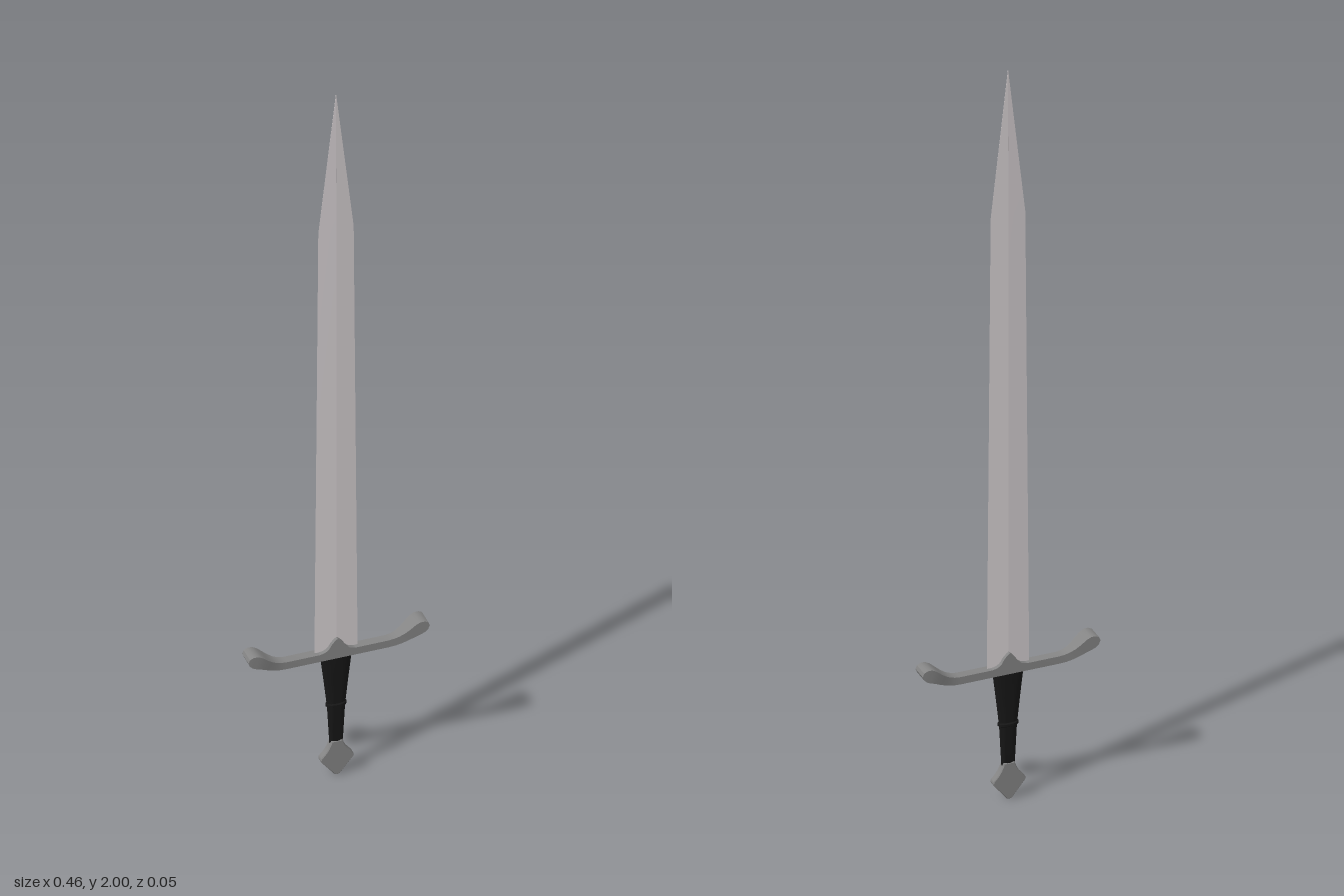
import * as THREE from 'three';
import { toCreasedNormals } from 'three/addons/utils/BufferGeometryUtils.js';

// Skin a list of closed rings (each an array of Vector3), with both ends capped.
function loft(rings, crease) {
  const n = rings[0].length, pos = [], idx = [];
  rings.forEach(r => r.forEach(p => pos.push(p.x, p.y, p.z)));
  for (let i = 0; i < rings.length - 1; i++) {
    for (let j = 0; j < n; j++) {
      const a = i * n + j, b = i * n + (j + 1) % n;
      idx.push(a, b, b + n, a, b + n, a + n);
    }
  }
  const last = (rings.length - 1) * n;
  for (let j = 1; j < n - 1; j++) {
    idx.push(0, j + 1, j, last, last + j, last + j + 1);
  }
  const g = new THREE.BufferGeometry();
  g.setAttribute('position', new THREE.Float32BufferAttribute(pos, 3));
  g.setIndex(idx);
  return toCreasedNormals(g, crease);
}

// Horizontal elliptical ring, ordered so that skinning upwards faces outwards.
function ellipse(y, rx, rz, n) {
  return Array.from({ length: n }, (_, i) => {
    const a = -i / n * Math.PI * 2;
    return new THREE.Vector3(Math.cos(a) * rx, y, Math.sin(a) * rz);
  });
}

const material = color => new THREE.MeshStandardMaterial({ color, side: THREE.DoubleSide });

export function createModel() {
  const group = new THREE.Group();
  const steel = material(0xd6d0d2), iron = material(0x858585), leather = material(0x161616);
  const add = (name, geometry, mat) => {
    const mesh = new THREE.Mesh(geometry, mat);
    mesh.name = name;
    group.add(mesh);
  };

  // Blade: thin diamond section with a central ridge, tapering to a point
  const blade = [[0.35, 0.055, 0.003], [1.6, 0.045, 0.0025], [2.0, 0.0003, 0.0003]];
  add('blade', loft(blade.map(([y, w, d]) => ellipse(y, w, d, 4)), 0.02), steel);

  // Crossguard: flat bar with upturned, flared ends [x, y, half thickness, half depth]
  const arm = [
    [0.04, 0.355, 0.010, 0.012], [0.13, 0.355, 0.010, 0.012], [0.145, 0.3565, 0.0105, 0.0125],
    [0.16, 0.361, 0.011, 0.0145], [0.175, 0.3685, 0.012, 0.0175], [0.19, 0.378, 0.014, 0.0205],
    [0.203, 0.386, 0.0165, 0.022], [0.213, 0.391, 0.0165, 0.0225], [0.222, 0.3945, 0.0125, 0.0225],
    [0.2285, 0.397, 0.005, 0.0225],
  ];
  const stations = [...arm.map(([x, ...rest]) => [-x, ...rest]).reverse(), ...arm];
  const guard = stations.map(([x, y, t, d], i) => {
    const a = stations[Math.max(i - 1, 0)], b = stations[Math.min(i + 1, stations.length - 1)];
    const normal = new THREE.Vector2(a[1] - b[1], b[0] - a[0]).normalize().multiplyScalar(t);
    return [[-1, -1], [1, -1], [1, 1], [-1, 1]].map(([u, v]) =>
      new THREE.Vector3(x + normal.x * u, y + normal.y * u, d * v));
  });
  add('crossguard', loft(guard, 0.6), iron);

  // Peaked boss over the middle of the crossguard
  const peak = new THREE.Shape();
  peak.moveTo(-0.045, 0.35);
  peak.lineTo(0.045, 0.35);
  peak.lineTo(0.045, 0.365);
  peak.quadraticCurveTo(0.024, 0.368, 0.018, 0.382);
  peak.quadraticCurveTo(0.012, 0.393, 0, 0.402);
  peak.quadraticCurveTo(-0.012, 0.393, -0.018, 0.382);
  peak.quadraticCurveTo(-0.024, 0.368, -0.045, 0.365);
  const boss = new THREE.ExtrudeGeometry(peak, { depth: 0.024, bevelEnabled: false, curveSegments: 5 });
  boss.translate(0, 0, -0.012);
  add('guardBoss', toCreasedNormals(boss, 0.6), iron);

  // Grip: oval section narrowing towards the pommel
  const grip = [[0.09, 0.017, 0.009], [0.2, 0.023, 0.0105], [0.28, 0.032, 0.011], [0.347, 0.04, 0.011]];
  add('grip', loft(grip.map(([y, w, d]) => ellipse(y, w, d, 20)), 0.8), leather);

  // Raised band around the grip
  const band = [[0.199, 0.022, 0.01], [0.202, 0.0265, 0.014], [0.208, 0.0265, 0.014], [0.211, 0.022, 0.01]];
  add('gripBand', loft(band.map(([y, w, d]) => ellipse(y, w, d, 20)), 0.8), leather);

  // Pommel: flat diamond plate with softened corners
  const outline = new THREE.Shape();
  outline.moveTo(-0.007, 0.003);
  outline.quadraticCurveTo(0, -0.001, 0.007, 0.003);
  outline.lineTo(0.04, 0.044);
  outline.quadraticCurveTo(0.044, 0.05, 0.04, 0.056);
  outline.quadraticCurveTo(0.02, 0.076, 0.014, 0.1);
  outline.lineTo(-0.014, 0.1);
  outline.quadraticCurveTo(-0.02, 0.076, -0.04, 0.056);
  outline.quadraticCurveTo(-0.044, 0.05, -0.04, 0.044);
  const pommel = new THREE.ExtrudeGeometry(outline, {
    depth: 0.016, curveSegments: 5, bevelThickness: 0.002, bevelSize: 0.002, bevelOffset: -0.002, bevelSegments: 1,
  });
  pommel.translate(0, 0, -0.008);
  add('pommel', toCreasedNormals(pommel, 0.6), iron);

  return group;
}
